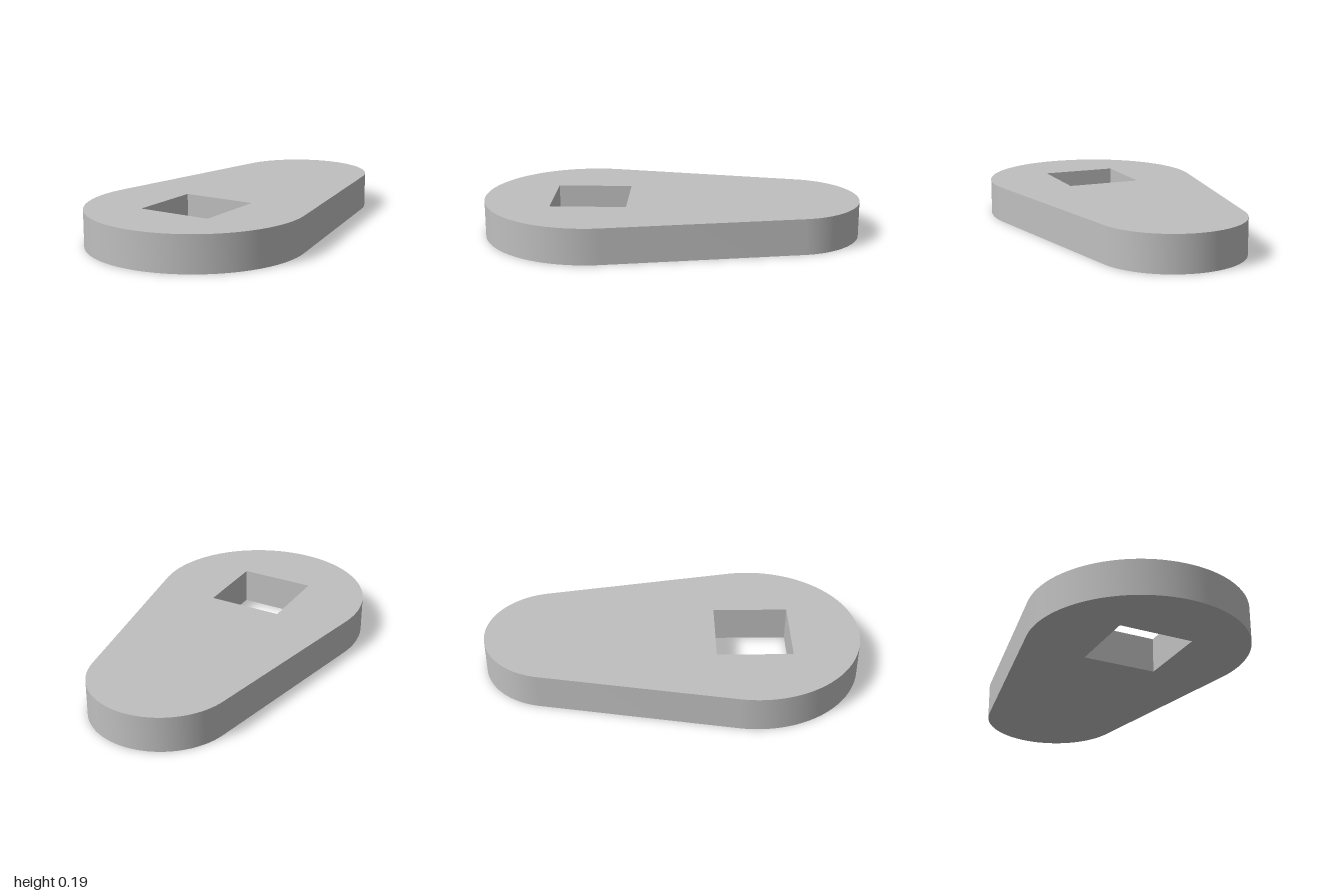
import * as THREE from 'three';
import { toCreasedNormals } from 'three/addons/utils/BufferGeometryUtils.js';

const HEIGHT = 0.19;
const BIG = { r: 0.57, y: -0.43 };   // front lobe (shape y = -z)
const SMALL = { r: 0.38, y: 0.62 };  // back lobe

export function createModel() {
  const group = new THREE.Group();
  group.name = 'camLever';

  const grey = new THREE.MeshStandardMaterial({ color: 0xbfbfbf });
  grey.name = 'light grey';

  // Outline: two arcs joined by their common tangents
  const a = Math.asin((BIG.r - SMALL.r) / (SMALL.y - BIG.y));
  const outline = new THREE.Shape();
  outline.absarc(0, SMALL.y, SMALL.r, a, Math.PI - a, false);
  outline.absarc(0, BIG.y, BIG.r, Math.PI - a, 2 * Math.PI + a, false);
  outline.closePath();

  // Square through-hole centred on the large lobe
  const h = 0.2;
  const hole = new THREE.Path();
  hole.moveTo(-h, BIG.y - h);
  hole.lineTo(-h, BIG.y + h);
  hole.lineTo(h, BIG.y + h);
  hole.lineTo(h, BIG.y - h);
  hole.closePath();
  outline.holes.push(hole);

  // Plate laid flat, with smooth rims and sharp edges
  const geometry = new THREE.ExtrudeGeometry(outline, {
    depth: HEIGHT, bevelEnabled: false, curveSegments: 48,
  });
  geometry.rotateX(-Math.PI / 2);
  const plate = new THREE.Mesh(toCreasedNormals(geometry, Math.PI / 6), grey);
  plate.name = 'plate';
  group.add(plate);

  return group;
}
